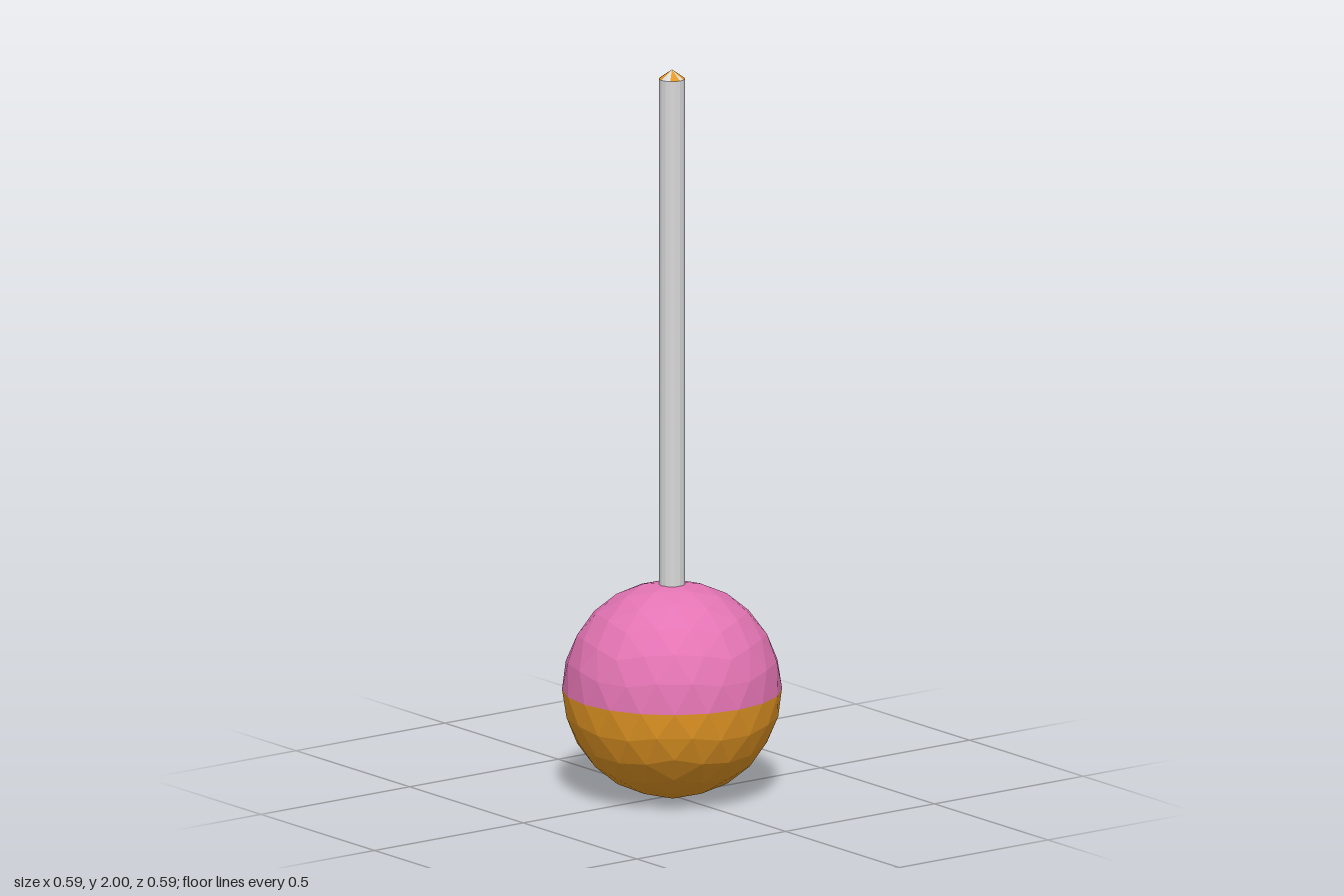
import * as THREE from 'three';

const material = (name, color) => {
  const m = new THREE.MeshStandardMaterial({ color, flatShading: true });
  m.name = name;
  return m;
};

// Faceted ball with vertices at its poles: an icosahedron halved twice
function ballTriangles(radius, centreY) {
  const ring = (y, shift) => Array.from({ length: 5 }, (_, i) => {
    const a = (i * 72 + shift) * Math.PI / 180, r = 2 / Math.sqrt(5);
    return new THREE.Vector3(r * Math.cos(a), y, -r * Math.sin(a));
  });
  const up = ring(1 / Math.sqrt(5), 0), low = ring(-1 / Math.sqrt(5), 36);
  const top = new THREE.Vector3(0, 1, 0), bottom = new THREE.Vector3(0, -1, 0);
  let tris = [];
  for (let i = 0; i < 5; i++) {
    const j = (i + 1) % 5;
    tris.push([top, up[i], up[j]], [up[i], low[i], up[j]],
      [low[i], low[j], up[j]], [bottom, low[j], low[i]]);
  }
  const mid = (a, b) => a.clone().add(b).normalize();
  for (let n = 0; n < 2; n++) {
    tris = tris.flatMap(([a, b, c]) => {
      const ab = mid(a, b), bc = mid(b, c), ca = mid(c, a);
      return [[a, ab, ca], [ab, b, bc], [ca, bc, c], [ab, bc, ca]];
    });
  }
  return tris.map(t => t.map(v => v.clone().multiplyScalar(radius).setY(v.y * radius + centreY)));
}

function meshFrom(name, tris, mat) {
  const geometry = new THREE.BufferGeometry().setFromPoints(tris.flat());
  geometry.computeVertexNormals();
  const mesh = new THREE.Mesh(geometry, mat);
  mesh.name = name;
  return mesh;
}

// Round side wall whose facets are coloured by their bearing from +x towards +z
function stripedWall(name, rTop, rBottom, y0, y1, stripes, materials) {
  const sides = 16;
  const geometry = new THREE.CylinderGeometry(rTop, rBottom, y1 - y0, sides, 1, true);
  geometry.translate(0, (y0 + y1) / 2, 0);
  const perSide = geometry.index.count / sides;
  geometry.clearGroups();
  for (let i = 0; i < sides; i++) {
    const bearing = (450 - (i + 0.5) * 360 / sides) % 360;
    const striped = stripes.some(([a, b]) => bearing > a && bearing < b);
    geometry.addGroup(i * perSide, perSide, striped ? 1 : 0);
  }
  const mesh = new THREE.Mesh(geometry, materials);
  mesh.name = name;
  return mesh;
}

export function createModel() {
  const group = new THREE.Group();
  group.name = 'ballOnRod';
  const pink = material('pink', 0xe374b3);
  const orange = material('orange', 0xe39624);
  const grey = material('light grey', 0xd9d9d9);

  // Two-tone ball
  const centreY = 0.295;
  const tris = ballTriangles(0.294, centreY);
  const isUpper = t => (t[0].y + t[1].y + t[2].y) / 3 > centreY;
  group.add(meshFrom('upperBall', tris.filter(isUpper), pink));
  group.add(meshFrom('lowerBall', tris.filter(t => !isUpper(t)), orange));

  // Striped rod and its low pointed tip
  const R = 0.035;
  group.add(stripedWall('rod', R, R, 0.55, 1.975, [[140, 207], [255, 310]], [grey, orange]));
  group.add(stripedWall('rodTip', 0, R, 1.975, 2,
    [[0, 40], [95, 180], [210, 240], [270, 330]], [grey, orange]));
  return group;
}
